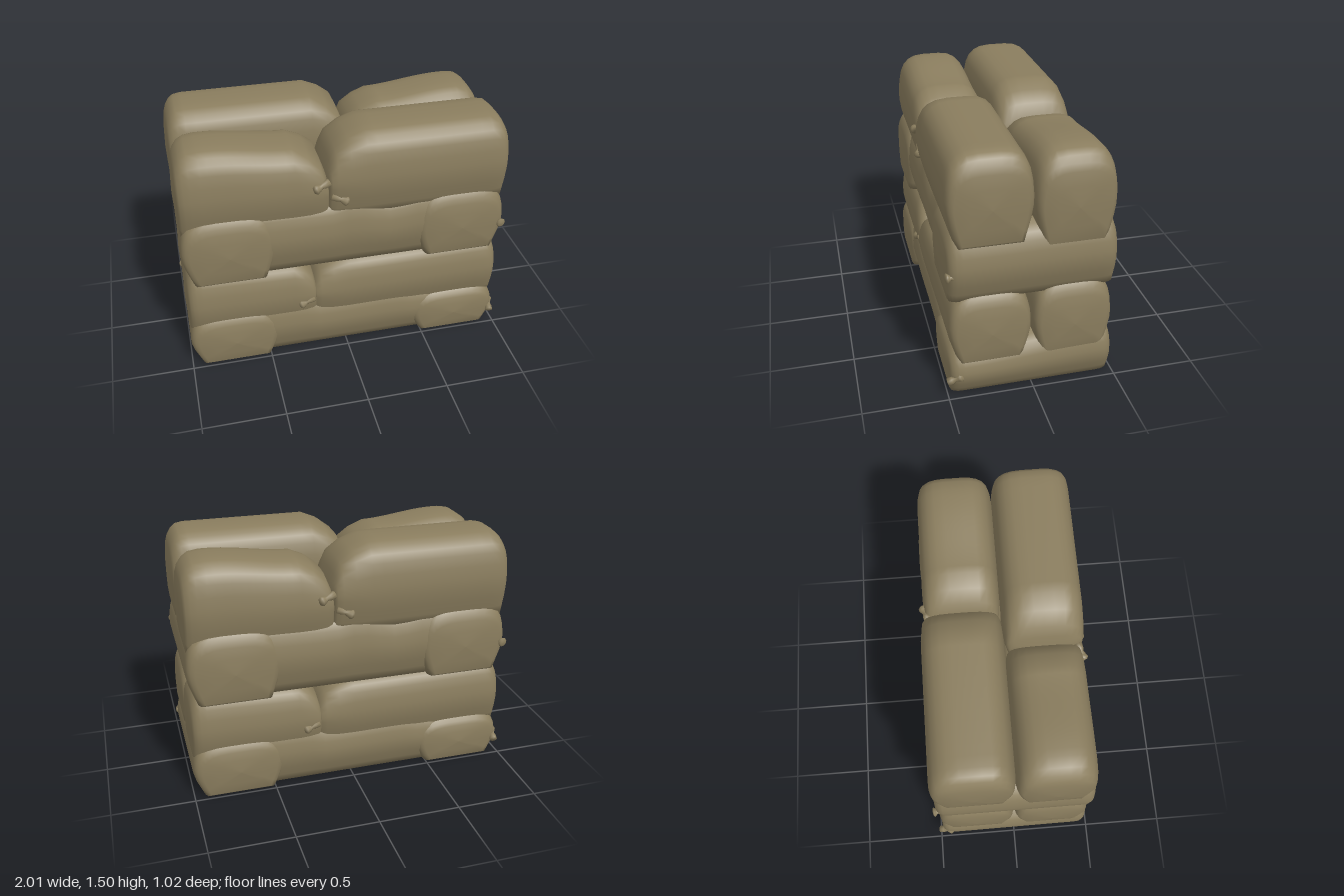
import * as THREE from 'three';

const burlap = new THREE.MeshStandardMaterial({ color: 0x8a7d5e });
burlap.name = 'burlap';

// Bag cross-section: [half-width factor, height factor], flat base, domed top
const half = [[0.8, 0], [0.87, 0.12], [0.95, 0.26], [1, 0.4], [1, 0.52], [0.97, 0.66],
  [0.91, 0.79], [0.82, 0.88], [0.68, 0.945], [0.5, 0.985], [0.25, 1]];
const SECTION = [...half, [0, 1], ...half.slice().reverse().map(([u, v]) => [-u, v])];
const WAIST = 0.42;

// Bag ends: [share of rounding length, extra inset, width scale, top scale, base scale]
const SEWN = [[0, 0, 0, 0, 0], [0, 0.006, 0.5, 0.4, 0.5], [0.03, 0.014, 0.82, 0.64, 0.93],
  [0.08, 0.02, 0.91, 0.77, 1], [0.25, 0.02, 0.96, 0.89, 1], [0.55, 0.01, 0.99, 0.97, 1], [1, 0, 1, 1, 1]];
const TIED = [[0, 0, 0, 0, 0], [0, 0.006, 0.5, 0.12, 0.5], [0.03, 0.01, 0.84, 0.24, 0.93],
  [0.1, 0.01, 0.92, 0.42, 1], [0.28, 0, 0.96, 0.68, 1], [0.6, 0, 0.99, 0.87, 1], [1, 0, 1, 1, 1]];

// Height of the bag's ridge at x, eased between the given [x, y] points
function topAt(tops, x) {
  if (x <= tops[0][0]) return tops[0][1];
  for (let i = 1; i < tops.length; i++) {
    const [x0, y0] = tops[i - 1], [x1, y1] = tops[i];
    if (x <= x1) return y0 + (y1 - y0) * THREE.MathUtils.smoothstep(x, x0, x1);
  }
  return tops[tops.length - 1][1];
}

// Loft a filled bag along x from x0 to x1; r0 and r1 round its two ends
function bag(name, { x0, x1, z, w, y, tops, r0 = 0.1, r1 = 0.1, end0 = SEWN, end1 = SEWN }) {
  const rings = end0.map(([k, d, ...s]) => [x0 + k * r0 + d, ...s]);
  const a = x0 + r0, b = x1 - r1;
  for (let i = 1; i < 12; i++) rings.push([a + (b - a) * i / 12, 1, 1, 1]);
  end1.slice().reverse().forEach(([k, d, ...s]) => rings.push([x1 - k * r1 - d, ...s]));

  const pos = [], idx = [], n = SECTION.length;
  for (const [x, sw, st, sb] of rings) {
    const h = topAt(tops, x) - y;
    for (const [u, v] of SECTION) {
      const f = WAIST + (v - WAIST) * (v > WAIST ? st : sb);
      pos.push(x, y + h * f, z + u * w * sw);
    }
  }
  for (let i = 0; i < rings.length - 1; i++) {
    for (let j = 0; j < n; j++) {
      const p = i * n + j, q = i * n + (j + 1) % n;
      if (i > 0) idx.push(p, p + n, q);
      if (i < rings.length - 2) idx.push(q, p + n, q + n);
    }
  }
  const geo = new THREE.BufferGeometry();
  geo.setAttribute('position', new THREE.Float32BufferAttribute(pos, 3));
  geo.setIndex(idx);
  geo.computeVertexNormals();
  const mesh = new THREE.Mesh(geo, burlap);
  mesh.name = name;
  return mesh;
}

// Tied bag neck: pinched stem with a lumpy flared tip, from one point to another
function knot(from, to) {
  const a = new THREE.Vector3(...from), d = new THREE.Vector3(...to).sub(a), L = d.length();
  const pts = [[0, 0], [0.024, 0.02], [0.022, 0.3], [0.015, 0.5], [0.024, 0.7], [0.03, 0.85], [0.02, 0.97], [0, 1]]
    .map(([r, t]) => new THREE.Vector2(r, t * L));
  const mesh = new THREE.Mesh(new THREE.LatheGeometry(pts, 10), burlap);
  mesh.position.copy(a);
  mesh.quaternion.setFromUnitVectors(new THREE.Vector3(0, 1, 0), d.normalize());
  mesh.name = 'knot';
  return mesh;
}

// Half of the stack; the other half is the same turned about the vertical axis
function halfStack() {
  const g = new THREE.Group();
  g.name = 'halfStack';

  // Lengthwise bags, top and second layer
  g.add(
    bag('topLongBag', { x0: -0.13, x1: 1, z: 0.243, w: 0.245, y: 0.97, r0: 0.24, r1: 0.13, end0: TIED,
      tops: [[0, 1.5], [1, 1.5]] }),
    bag('topShortBag', { x0: -1, x1: -0.09, z: 0.235, w: 0.235, y: 0.925, r0: 0.16, r1: 0.22, end1: TIED,
      tops: [[-0.8, 1.47], [-0.3, 1.42]] }),
    bag('lowerLongBag', { x0: -0.23, x1: 1, z: 0.243, w: 0.24, y: 0.22, r0: 0.24, r1: 0.11, end0: TIED,
      tops: [[0, 0.66], [1, 0.67]] }),
    bag('lowerShortBag', { x0: -1, x1: -0.17, z: 0.24, w: 0.235, y: 0.2, r0: 0.11, r1: 0.16, end1: TIED,
      tops: [[-0.9, 0.68], [-0.3, 0.66]] }),
  );

  // Sagging bags between the end bags, pressed into the layer above
  g.add(
    bag('upperMiddleBag', { x0: -0.62, x1: 0.62, z: 0.225, w: 0.25, y: 0.63,
      tops: [[-0.5, 1.1], [-0.1, 1.09], [0.02, 1.12], [0.28, 1.06], [0.45, 1.09]] }),
    bag('baseMiddleBag', { x0: -0.62, x1: 0.62, z: 0.225, w: 0.25, y: 0,
      tops: [[-0.3, 0.42], [-0.15, 0.38], [0.3, 0.39], [0.48, 0.36]] }),
  );

  // Crosswise end bags
  const ends = new THREE.Group();
  ends.name = 'endBags';
  ends.add(
    bag('upperEndBag', { x0: -0.5, x1: 0.5, z: 0.715, w: 0.28, y: 0.62, tops: [[-0.4, 1.06], [0.4, 1.07]] }),
    bag('baseEndBag', { x0: -0.5, x1: 0.5, z: 0.715, w: 0.28, y: 0, tops: [[-0.4, 0.3], [0.4, 0.36]] }),
  );
  ends.rotation.y = Math.PI / 2;
  g.add(ends);

  // Tied necks
  g.add(
    knot([-0.11, 1.22, 0.44], [-0.21, 1.19, 0.47]),
    knot([-0.1, 1.13, 0.45], [0, 1.09, 0.475]),
    knot([-0.21, 0.39, 0.45], [-0.31, 0.36, 0.47]),
    knot([0.965, 0.1, 0.5], [0.98, 0.14, 0.41]),
    knot([0.96, 0.8, 0.44], [0.97, 0.8, 0.5]),
  );
  return g;
}

export function createModel() {
  const model = new THREE.Group();
  model.name = 'sandbagStack';
  const front = halfStack(), back = halfStack();
  back.rotation.y = Math.PI;
  model.add(front, back);
  return model;
}
